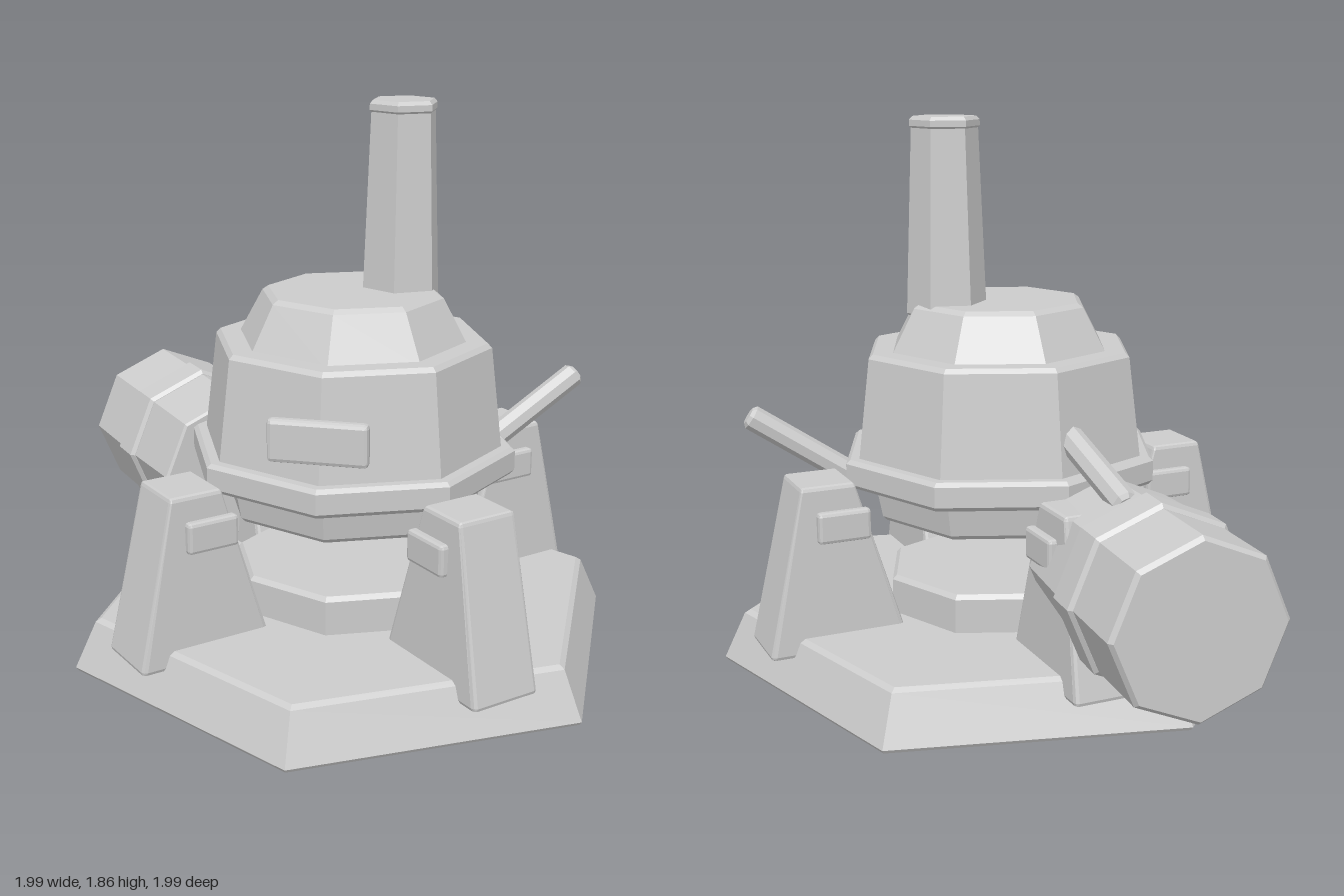
import * as THREE from 'three';
import { RoundedBoxGeometry } from 'three/addons/geometries/RoundedBoxGeometry.js';

const CX = 0.165, CZ = 0.03; // main vertical axis

export function createModel() {
  const root = new THREE.Group();
  root.name = 'boilerMachine';
  const grey = new THREE.MeshStandardMaterial({ color: 0xcccccc });
  grey.name = 'plain grey';

  // Faceted normals baked into the geometry
  const facet = (geo) => {
    const g = geo.index ? geo.toNonIndexed() : geo;
    g.computeVertexNormals();
    return g;
  };
  const add = (name, geo, parent = root) => {
    const m = new THREE.Mesh(facet(geo), grey);
    m.name = name;
    parent.add(m);
    return m;
  };
  // Closed faceted solid of revolution from [radius, height] pairs
  const turned = (sides, profile) => {
    const pts = [[0, profile[0][1]], ...profile, [0, profile[profile.length - 1][1]]];
    return new THREE.LatheGeometry(pts.map(([r, y]) => new THREE.Vector2(r, y)), sides);
  };
  const onAxis = (name, sides, profile) => {
    add(name, turned(sides, profile)).position.set(CX, 0, CZ);
  };

  // Base, pedestal and boiler body, stacked on one axis
  onAxis('basePlate', 6, [[0.955, 0], [0.964, 0.012], [0.892, 0.168], [0.872, 0.18]]);
  onAxis('pedestal', 8, [[0.4, 0.16], [0.4, 0.295], [0.385, 0.31]]);
  onAxis('boilerBottom', 8, [[0.415, 0.51], [0.43, 0.525], [0.455, 0.65]]);
  onAxis('boilerRing', 8, [[0.54, 0.64], [0.555, 0.655], [0.555, 0.722], [0.54, 0.735]]);
  onAxis('boilerBody', 8, [[0.51, 0.72], [0.468, 1.07], [0.453, 1.085]]);
  onAxis('boilerDome', 8, [[0.39, 1.07], [0.305, 1.228], [0.285, 1.242]]);

  // Chimney with its lip
  const chimney = new THREE.Group();
  chimney.name = 'chimney';
  chimney.position.set(0.31, 0, -0.075);
  root.add(chimney);
  add('chimneyPipe', turned(6, [[0.12, 1.19], [0.135, 1.205], [0.111, 1.83]]), chimney);
  add('chimneyLip', turned(6, [[0.108, 1.815], [0.117, 1.825], [0.117, 1.845], [0.106, 1.857]]), chimney);

  // Four tapered legs on the diagonals, each with a plate on both sides
  const y0 = 0.115, y1 = 0.685;
  for (let i = 0; i < 4; i++) {
    const leg = new THREE.Group();
    leg.name = 'leg' + (i + 1);
    leg.position.set(CX, 0, CZ);
    leg.rotation.y = Math.PI / 4 + i * Math.PI / 2;
    root.add(leg);

    const h = y1 - y0;
    const geo = new RoundedBoxGeometry(0.24, h, 0.4, 1, 0.014);
    const p = geo.attributes.position;
    for (let k = 0; k < p.count; k++) {
      const t = p.getY(k) / h + 0.5;
      const f = p.getZ(k) / 0.4 + 0.5;
      const inner = THREE.MathUtils.lerp(0.385, 0.56, t);
      const outer = THREE.MathUtils.lerp(0.865, 0.74, t);
      p.setXYZ(k, p.getX(k) * (1.04 - 0.16 * t), y0 + h * t, inner + (outer - inner) * f);
    }
    add('legBody', geo, leg);

    for (const side of [-1, 1]) {
      const plate = add('legPlate', new RoundedBoxGeometry(0.04, 0.105, 0.18, 1, 0.012), leg);
      plate.position.set(side * 0.117, 0.548, 0.605);
    }
  }

  // Front plate
  add('frontPlate', new RoundedBoxGeometry(0.32, 0.14, 0.045, 1, 0.014)).position.set(0.16, 0.872, 0.525);

  // Horizontal tank at the back right, pointing outward along its own z
  const tank = new THREE.Group();
  tank.name = 'sideTank';
  tank.position.set(-0.783, 0.475, -0.82);
  tank.rotation.y = Math.atan2(-0.64, -0.77);
  root.add(tank);
  add('tankBody', turned(8, [[0.262, -0.71], [0.27, -0.7], [0.282, -0.4], [0.283, -0.015], [0.27, 0]])
    .rotateX(Math.PI / 2), tank);
  add('tankBand', turned(8, [[0.283, -0.42], [0.297, -0.408], [0.297, -0.292], [0.283, -0.28]])
    .rotateX(Math.PI / 2), tank);

  // Slanting pipes with chamfered ends
  const pipe = (name, a, b, r) => {
    const from = new THREE.Vector3(...a), dir = new THREE.Vector3(...b).sub(from);
    const len = dir.length();
    const m = add(name, turned(8, [[r * 0.7, 0], [r, 0.012], [r, len - 0.012], [r * 0.7, len]]));
    m.position.copy(from);
    m.quaternion.setFromUnitVectors(new THREE.Vector3(0, 1, 0), dir.normalize());
  };
  pipe('leverPipe', [0.59, 0.645, -0.235], [0.885, 0.875, -0.425], 0.042);
  pipe('tankPipe', [-0.17, 0.86, -0.23], [-0.455, 0.715, -0.485], 0.045);

  return root;
}
